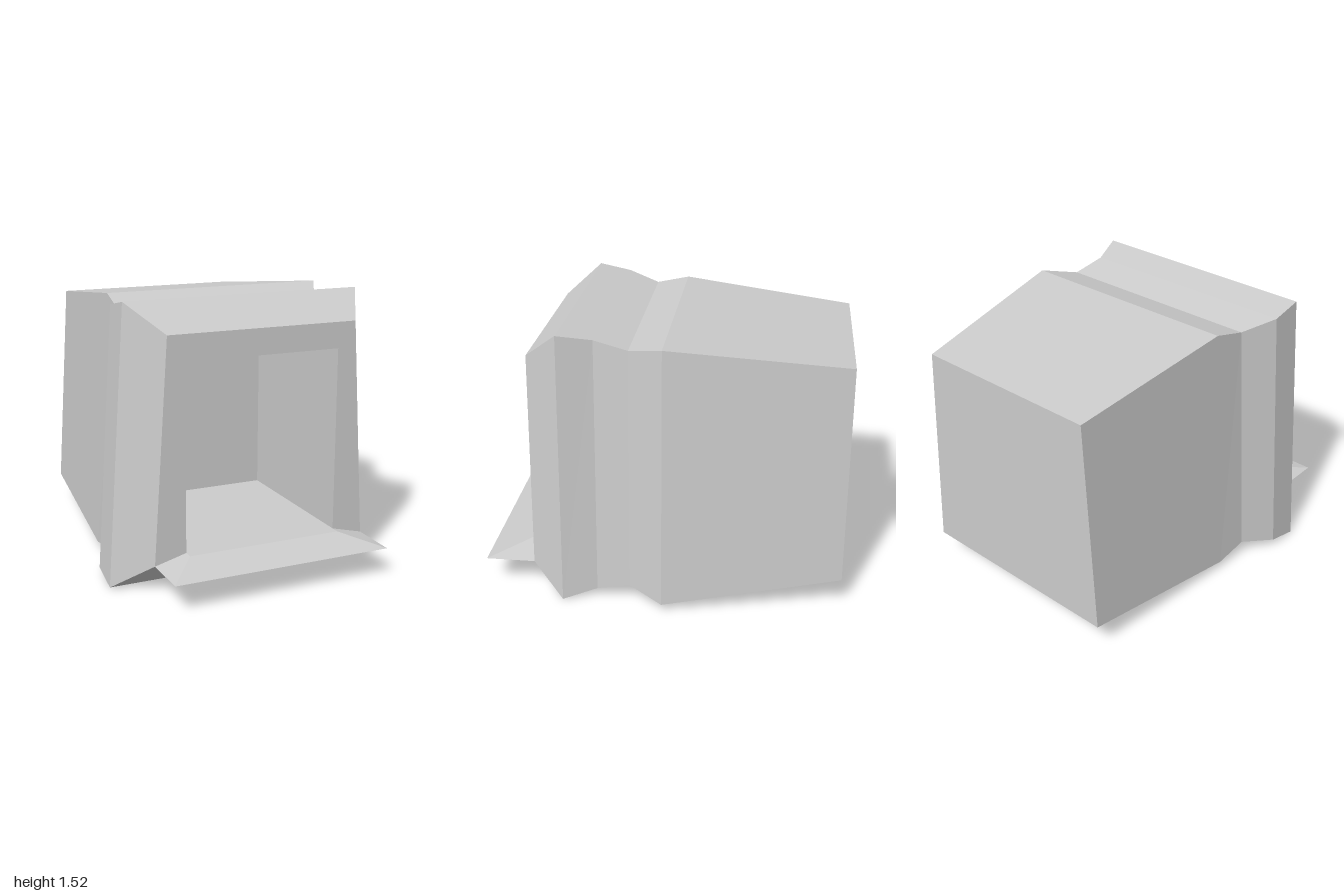
import * as THREE from 'three';

// Skin between four-cornered rings, with a cap on the first and last ring
function loft(name, rings) {
  const pos = [];
  const quad = (a, b, c, d) => pos.push(...a, ...b, ...c, ...a, ...c, ...d);
  quad(...rings[0]);
  for (let r = 0; r < rings.length - 1; r++) {
    const a = rings[r], b = rings[r + 1];
    for (let i = 0; i < 4; i++) {
      const j = (i + 1) % 4;
      quad(a[i], b[i], b[j], a[j]);
    }
  }
  quad(...[...rings[rings.length - 1]].reverse());
  const geo = new THREE.BufferGeometry();
  geo.setAttribute('position', new THREE.Float32BufferAttribute(pos, 3));
  geo.computeVertexNormals();
  const mesh = new THREE.Mesh(geo, new THREE.MeshStandardMaterial({ color: 0xcccccc, flatShading: true }));
  mesh.name = name;
  return mesh;
}

// Upright trapezoid: bottom and top x ranges, y range, depth
const section = (z, y0, y1, bl, br, tl, tr) => [[bl, y0, z], [br, y0, z], [tr, y1, z], [tl, y1, z]];
// Level rectangle: x range, z range, height
const level = (y, x0, x1, zBack, zFront) => [[x0, y, zFront], [x1, y, zFront], [x1, y, zBack], [x0, y, zBack]];

export function createModel() {
  const group = new THREE.Group();
  group.name = 'hollowHousing';

  // Hollow shell: recess back wall, out to the front frame, then along the outside to the rear
  group.add(loft('shell', [
    section(-0.215, 0.205, 1.23, -0.44, 0.448, -0.44, 0.448),
    section(0.724, 0.205, 1.23, -0.44, 0.448, -0.44, 0.448),
    section(0.724, 0.158, 1.373, -0.617, 0.629, -0.538, 0.55),
    section(0.54, 0.0, 1.525, -0.805, 0.752, -0.705, 0.653),
    section(0.355, 0.042, 1.487, -0.8, 0.685, -0.705, 0.588),
    section(0.168, 0.083, 1.445, -0.7, 0.698, -0.61, 0.61),
    section(-0.02, 0.038, 1.49, -0.685, 0.803, -0.594, 0.71),
    section(-1, 0.158, 1.373, -0.617, 0.629, -0.538, 0.55),
  ]));

  // Sloped sill in front of the opening
  group.add(loft('frontSill', [
    level(0.205, -0.44, 0.448, 0.724, 0.775),
    level(0.158, -0.617, 0.629, 0.724, 1),
  ]));
  return group;
}
